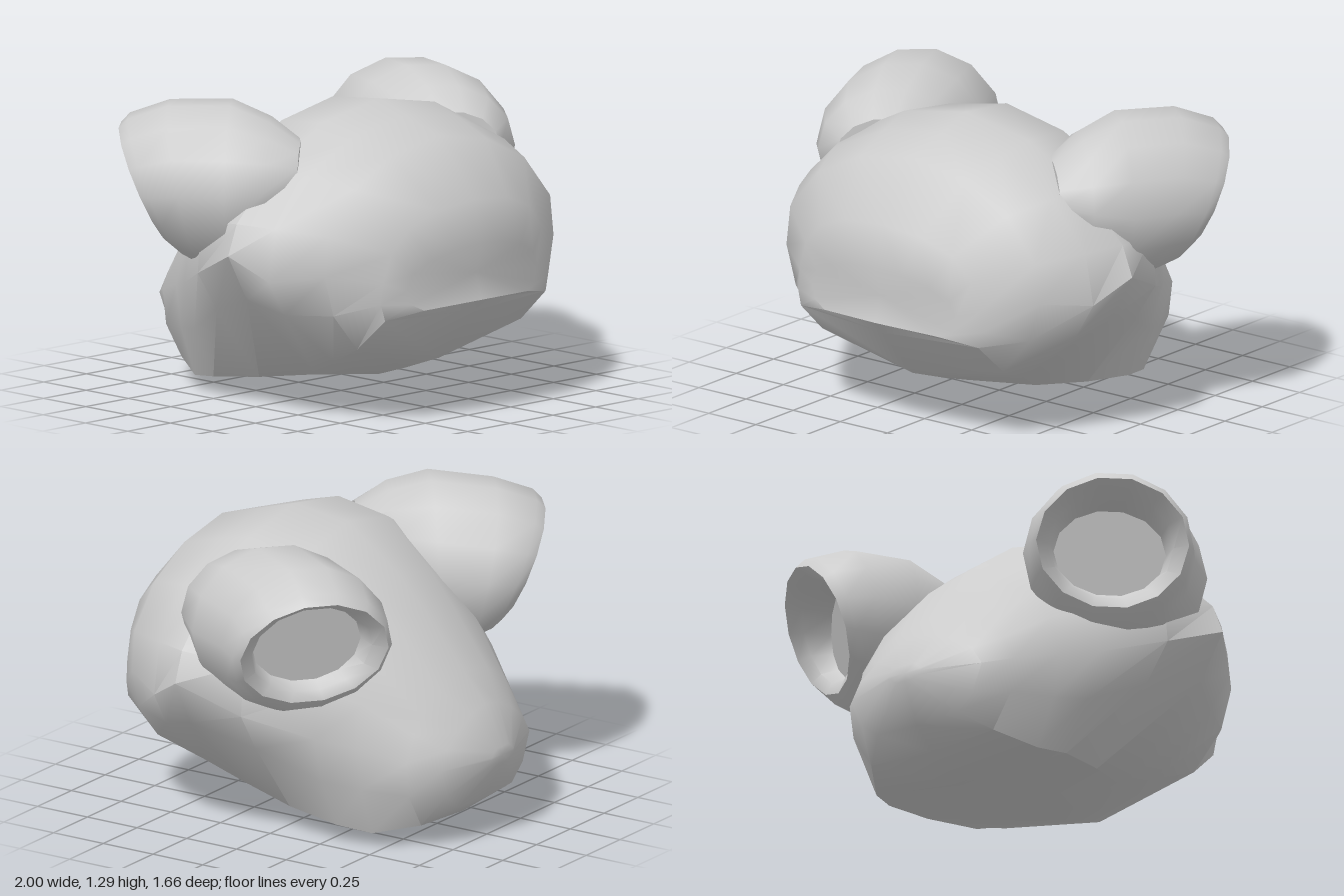
import * as THREE from 'three';
import { toCreasedNormals } from 'three/addons/utils/BufferGeometryUtils.js';

const skin = new THREE.MeshStandardMaterial({ color: 0xcccccc, side: THREE.DoubleSide });
skin.name = 'plain grey';

// Skin a run of closed rings ([x, y, z] points) and cap both ends.
function loft(rings, crease) {
  const n = rings[0].length;
  const pos = rings.flat(2);
  const index = [];
  for (let i = 0; i < rings.length - 1; i++) {
    for (let j = 0; j < n; j++) {
      const k = (j + 1) % n;
      const a = i * n + j, b = i * n + k, c = a + n, d = b + n;
      index.push(a, b, c, b, d, c);
    }
  }
  const cap = (r, flip) => {
    const centre = pos.length / 3;
    for (let axis = 0; axis < 3; axis++) {
      pos.push(rings[r].reduce((sum, p) => sum + p[axis], 0) / n);
    }
    for (let j = 0; j < n; j++) {
      const a = r * n + j, b = r * n + (j + 1) % n;
      index.push(centre, flip ? b : a, flip ? a : b);
    }
  };
  cap(0, true);
  cap(rings.length - 1, false);
  const geo = new THREE.BufferGeometry();
  geo.setAttribute('position', new THREE.Float32BufferAttribute(pos, 3));
  geo.setIndex(index);
  return toCreasedNormals(geo, crease);
}

// Half cross-sections: z, bow (how far the sides curve away), then points
// from the crown, down the +x side, to the chin.
const cranium = [
  [0.83, .4, [[0, .74], [.13, .73], [.26, .7], [.35, .65], [.38, .58], [.36, .52], [.3, .49], [0, .5]]],
  [0.79, .25, [[0, .92], [.2, .9], [.35, .84], [.44, .74], [.48, .62], [.49, .53], [.47, .46], [0, .45]]],
  [0.58, 0, [[0, 1.16], [.28, 1.11], [.5, 1.0], [.65, .82], [.67, .65], [.62, .48], [.48, .32], [0, .22]]],
  [0.38, 0, [[0, 1.22], [.31, 1.17], [.58, 1.04], [.76, .84], [.8, .62], [.71, .47], [.42, .23], [0, .15]]],
  [0.22, 0, [[0, 1.27], [.33, 1.21], [.62, 1.06], [.83, .85], [.88, .72], [.77, .52], [.37, .15], [0, .1]]],
  [-0.05, 0, [[0, 1.24], [.3, 1.18], [.55, 1.02], [.77, .82], [.79, .6], [.68, .43], [.43, .11], [0, .09]]],
];
const muzzle = [
  [-0.3, 0, [[0, 1.06], [.25, 1.0], [.45, .88], [.59, .7], [.62, .5], [.56, .3], [.45, .08], [0, .04]]],
  [-0.45, 0, [[0, .91], [.2, .88], [.37, .78], [.48, .64], [.52, .46], [.49, .27], [.41, .06], [0, 0]]],
  [-0.63, 0, [[0, .7], [.18, .66], [.31, .58], [.36, .51], [.42, .4], [.4, .25], [.31, .1], [0, .08]]],
  [-0.74, 0, [[0, .57], [.1, .55], [.2, .5], [.28, .44], [.33, .36], [.28, .24], [.2, .17], [0, .16]]],
  [-0.83, 0, [[0, .4], [.04, .4], [.06, .39], [.08, .37], [.08, .36], [.06, .34], [.04, .33], [0, .33]]],
];

function headRing([z, bow, half]) {
  const right = half.map(([x, y]) => [x, y, z - bow * x * x]);
  const left = right.slice(1, -1).reverse().map(([x, y, rz]) => [-x, y, rz]);
  return [...right, ...left];
}

// Eye mound rings: offset along the gaze, sideways shift, half width,
// half height, centre height, forward lean of the upper part.
const mound = [
  [-.55, .16, .2, .15, 1.0, 0],
  [-.42, .13, .3, .26, .98, 0],
  [-.25, .07, .36, .35, .95, 0],
  [-.05, 0, .36, .34, .94, .2],
  [.07, 0, .345, .29, .93, .4],
  [.11, 0, .32, .25, .93, .45],
  [.07, 0, .26, .21, .935, .4],
  [-.02, 0, .235, .18, .94, .2],
];

function eyeRing([s, shift, rw, rh, cy, lean], side) {
  const ring = [];
  for (let j = 0; j < 14; j++) {
    const a = -j / 14 * Math.PI * 2;
    const u = shift + Math.cos(a) * rw, v = Math.sin(a) * rh, out = s + lean * v;
    ring.push([side * (.68 + .65 * out + .76 * u), cy + v, -.31 - .76 * out + .65 * u]);
  }
  return side > 0 ? ring : ring.reverse();
}

export function createModel() {
  const model = new THREE.Group();
  model.name = 'creatureHead';
  const add = (geo, name) => {
    const mesh = new THREE.Mesh(geo, skin);
    mesh.name = name;
    model.add(mesh);
  };

  add(loft([...cranium, ...muzzle].map(headRing), 0.8), 'head');

  // Hooded eyes, each ending in a recessed flat eye
  for (const side of [1, -1]) {
    add(loft(mound.map((m) => eyeRing(m, side)), 0.9), side > 0 ? 'leftEye' : 'rightEye');
  }
  return model;
}
